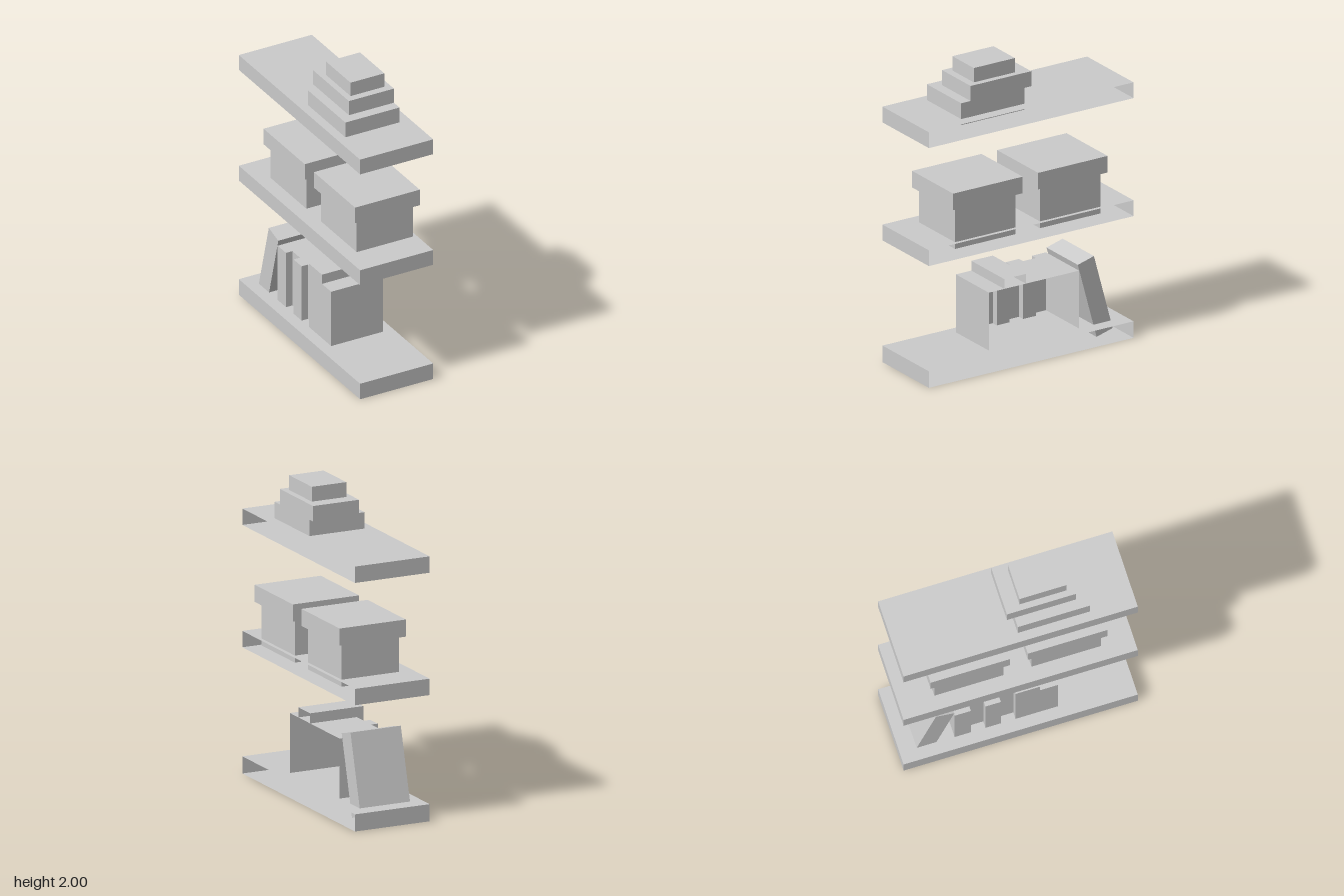
import * as THREE from 'three';

const grey = new THREE.MeshStandardMaterial({ color: 0xcccccc, flatShading: true });
const greyOpen = new THREE.MeshStandardMaterial({ color: 0xcccccc, flatShading: true, side: THREE.DoubleSide });

// Box given by its extents; wallOpen leaves out the face on the +x (wall) side
function block(name, [x0, x1], [y0, y1], [z0, z1], wallOpen = false) {
  const geo = new THREE.BoxGeometry(x1 - x0, y1 - y0, z1 - z0);
  if (wallOpen) {
    geo.setIndex(Array.from(geo.index.array).slice(6));
    geo.clearGroups();
  }
  geo.translate((x0 + x1) / 2, (y0 + y1) / 2, (z0 + z1) / 2);
  const mesh = new THREE.Mesh(geo, wallOpen ? greyOpen : grey);
  mesh.name = name;
  return mesh;
}

// Upright walls along an open path of [x, z] points, closed by a flat top
function bookRow(path, y0, y1) {
  const group = new THREE.Group();
  group.name = 'bookRow';
  const pos = [];
  for (let i = 0; i < path.length - 1; i++) {
    const [ax, az] = path[i], [bx, bz] = path[i + 1];
    pos.push(bx, y0, bz, ax, y0, az, ax, y1, az);
    pos.push(bx, y0, bz, ax, y1, az, bx, y1, bz);
  }
  const walls = new THREE.BufferGeometry();
  walls.setAttribute('position', new THREE.Float32BufferAttribute(pos, 3));
  walls.computeVertexNormals();
  const spines = new THREE.Mesh(walls, greyOpen);
  spines.name = 'bookSpines';

  const outline = new THREE.Shape(path.map(([x, z]) => new THREE.Vector2(x, -z)));
  const top = new THREE.Mesh(new THREE.ShapeGeometry(outline).rotateX(-Math.PI / 2).translate(0, y1, 0), greyOpen);
  top.name = 'bookTops';
  group.add(spines, top);
  return group;
}

export function createModel() {
  const model = new THREE.Group();
  model.name = 'wallShelves';

  // Three floating shelves, open towards the wall
  const shelves = [['lowerShelf', 0, 0.11], ['middleShelf', 0.81, 0.915], ['upperShelf', 1.595, 1.7]];
  for (const [name, y0, y1] of shelves) {
    model.add(block(name, [-0.265, 0.255], [y0, y1], [-0.76, 0.76], true));
  }

  // Standing books with alternating spine depths
  const path = [[0.18, 0.265], [-0.19, 0.265]];
  const edges = [-0.01, -0.105, -0.205, -0.3, -0.405];
  edges.forEach((z, i) => {
    path.push([i % 2 ? -0.145 : -0.19, z]);
    if (i < edges.length - 1) path.push([i % 2 ? -0.19 : -0.145, z]);
  });
  path.push([0.18, -0.405]);
  model.add(bookRow(path, 0.115, 0.5));
  model.add(block('tallBookTop', [-0.19, 0.18], [0.5, 0.565], [-0.01, 0.15], true));

  // Book leaning against the row
  const leaning = block('leaningBook', [-0.185, 0.165], [-0.264, 0.264], [-0.062, 0.062]);
  leaning.position.set(0, 0.295, -0.535);
  leaning.rotation.x = 0.267;
  model.add(leaning);

  // Two lidded storage boxes
  for (const [name, z] of [['frontBox', 0.325], ['backBox', -0.306]]) {
    const box = new THREE.Group();
    box.name = name;
    box.add(block('boxBody', [-0.17, 0.23], [0.87, 1.145], [z - 0.225, z + 0.225]));
    box.add(block('boxLid', [-0.2, 0.26], [1.145, 1.255], [z - 0.258, z + 0.258]));
    model.add(box);
  }

  // Stack of lying books
  model.add(block('stackBookBottom', [-0.205, 0.18], [1.66, 1.805], [0, 0.47]));
  model.add(block('stackBookMiddle', [-0.14, 0.18], [1.805, 1.905], [-0.05, 0.4]));
  model.add(block('stackBookTop', [-0.1, 0.14], [1.905, 2], [0.045, 0.35]));

  return model;
}
